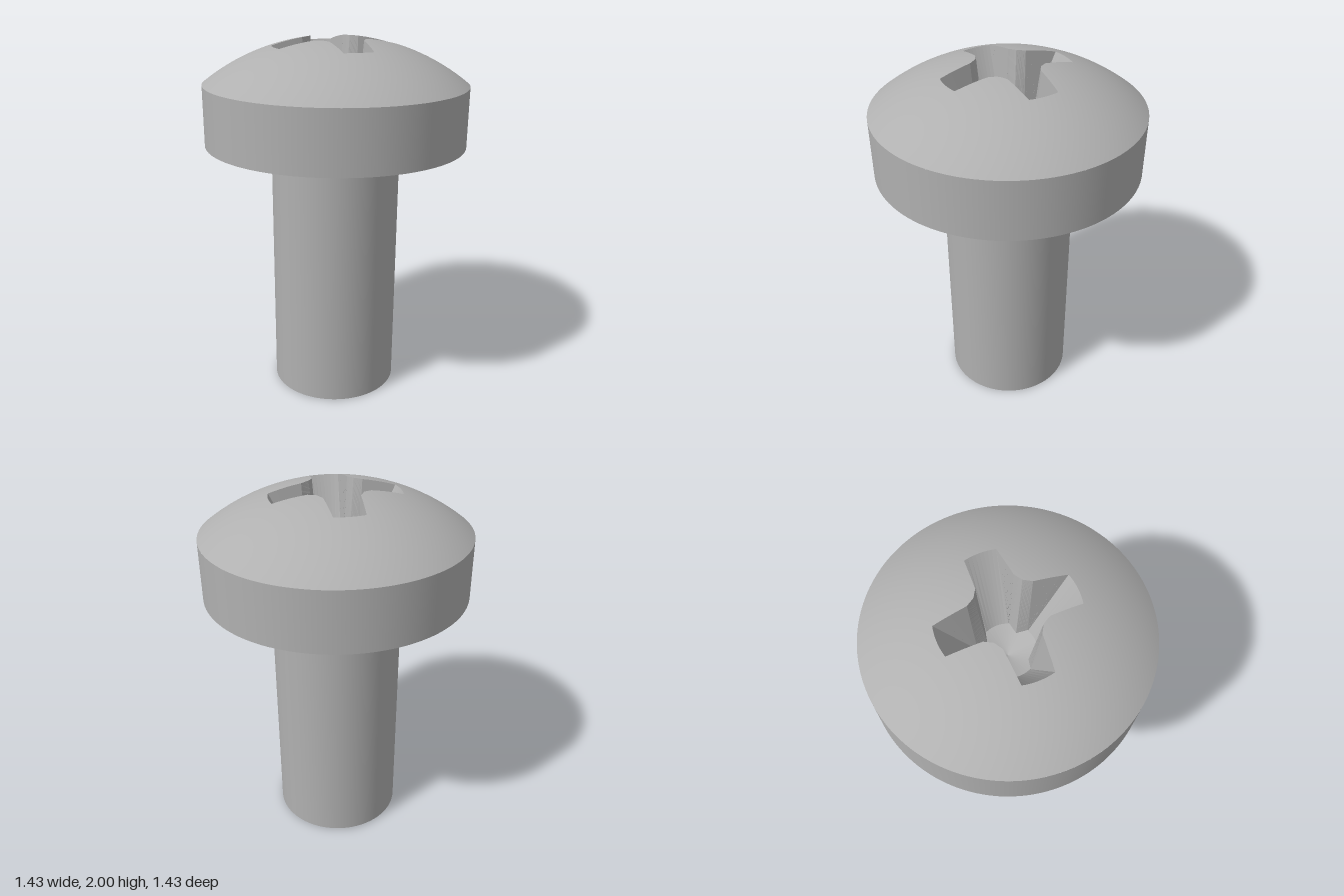
import * as THREE from 'three';

const HEAD_R = 0.715, SHAFT_R = 0.355, UNDER_Y = 1.44, EDGE_Y = 1.765;
const APEX_Y = 2.012, DOME_R = 1.158, ARM_ANGLE = 54.8;

const domeY = (r) => APEX_Y - DOME_R + Math.sqrt(DOME_R * DOME_R - r * r);
const floorY = (r) => 1.5 + 0.4 * r;
const polar = (r, deg) => {
  const a = THREE.MathUtils.degToRad(deg);
  return new THREE.Vector2(r * Math.cos(a), -r * Math.sin(a));
};

// Matching rim and floor outlines of the cross recess, counterclockwise
function recessOutlines() {
  // [rim radius, rim angle, floor radius, floor angle] for half an arm
  const half = [[0.168, -45, 0.111, -45], [0.186, -30.3, 0.152, -25], [0.344, -13.5, 0.149, -24]];
  const mirrored = half.map(([r, a, f, b]) => [r, -a, f, -b]).reverse();
  const rim = [], floor = [];
  for (let arm = 0; arm < 4; arm++) {
    const turn = ARM_ANGLE + arm * 90;
    const keys = [...half, ...mirrored];
    for (let k = 0; k < 5; k++) {
      const [r0, a0, f0, b0] = keys[k], [r1, a1, f1, b1] = keys[k + 1];
      for (let s = 0; s < 8; s++) {
        const t = s / 8, mix = THREE.MathUtils.lerp;
        if (k === 2) { // rounded arm end
          rim.push(polar(r0, turn + mix(a0, a1, t)));
          floor.push(polar(f0, turn + mix(b0, b1, t)));
        } else { // straight sides
          rim.push(polar(r0, turn + a0).lerp(polar(r1, turn + a1), t));
          floor.push(polar(f0, turn + b0).lerp(polar(f1, turn + b1), t));
        }
      }
    }
  }
  return { rim, floor };
}

// Spherical cap with the cross-shaped opening
function domeGeometry(rim) {
  const n = rim.length, rings = 12, pos = [], nor = [], idx = [];
  for (let j = 0; j <= rings; j++) {
    for (const p of rim) {
      const r = THREE.MathUtils.lerp(p.length(), HEAD_R, j / rings);
      const q = p.clone().setLength(r), y = domeY(r);
      pos.push(q.x, y, q.y);
      nor.push(q.x / DOME_R, (y - APEX_Y + DOME_R) / DOME_R, q.y / DOME_R);
    }
  }
  for (let j = 0; j < rings; j++) {
    for (let i = 0; i < n; i++) {
      const a = j * n + i, b = j * n + (i + 1) % n;
      idx.push(a, a + n, b + n, a, b + n, b);
    }
  }
  const g = new THREE.BufferGeometry();
  g.setAttribute('position', new THREE.Float32BufferAttribute(pos, 3));
  g.setAttribute('normal', new THREE.Float32BufferAttribute(nor, 3));
  g.setIndex(idx);
  return g;
}

// Faceted geometry from a list of triangle corners
function facets(points) {
  const g = new THREE.BufferGeometry().setFromPoints(points);
  g.computeVertexNormals();
  return g;
}

export function createModel() {
  const steel = new THREE.MeshStandardMaterial({ color: 0xb0b0b0 });
  steel.name = 'steel';
  const model = new THREE.Group();
  model.name = 'screw';
  const add = (name, geometry) => {
    const mesh = new THREE.Mesh(geometry, steel);
    mesh.name = name;
    model.add(mesh);
  };
  const lathe = (pts) => new THREE.LatheGeometry(pts.map(([x, y]) => new THREE.Vector2(x, y)), 128);

  // Shank with a small fillet under the head
  const fillet = 0.03, shank = [[SHAFT_R, 0], [SHAFT_R, 0.7]];
  for (let i = 0; i <= 6; i++) {
    const a = (i / 6) * Math.PI / 2;
    shank.push([SHAFT_R + fillet * (1 - Math.cos(a)), UNDER_Y - fillet + fillet * Math.sin(a)]);
  }
  add('shank', lathe(shank));
  add('shankEnd', lathe([[0, 0], [SHAFT_R, 0]]));

  // Head
  add('headUnderside', lathe([[SHAFT_R + fillet, UNDER_Y], [HEAD_R, UNDER_Y]]));
  add('headSide', lathe([[HEAD_R, UNDER_Y], [HEAD_R, EDGE_Y]]));
  const { rim, floor } = recessOutlines();
  add('headDome', domeGeometry(rim));

  // Drive recess: tapered walls and a shallow conical floor
  const top = rim.map((p) => new THREE.Vector3(p.x, domeY(p.length()), p.y));
  const low = floor.map((p) => new THREE.Vector3(p.x, floorY(p.length()), p.y));
  const tip = new THREE.Vector3(0, floorY(0), 0);
  const walls = [], cone = [];
  top.forEach((p, i) => {
    const k = (i + 1) % top.length;
    walls.push(p, top[k], low[k], p, low[k], low[i]);
    cone.push(tip, low[i], low[k]);
  });
  add('recessWalls', facets(walls));
  add('recessFloor', facets(cone));

  // The whole screw leans very slightly
  model.rotation.z = -0.009;
  model.position.set(-0.016, 0.003, 0);
  const root = new THREE.Group();
  root.name = 'panHeadScrew';
  root.add(model);
  return root;
}
